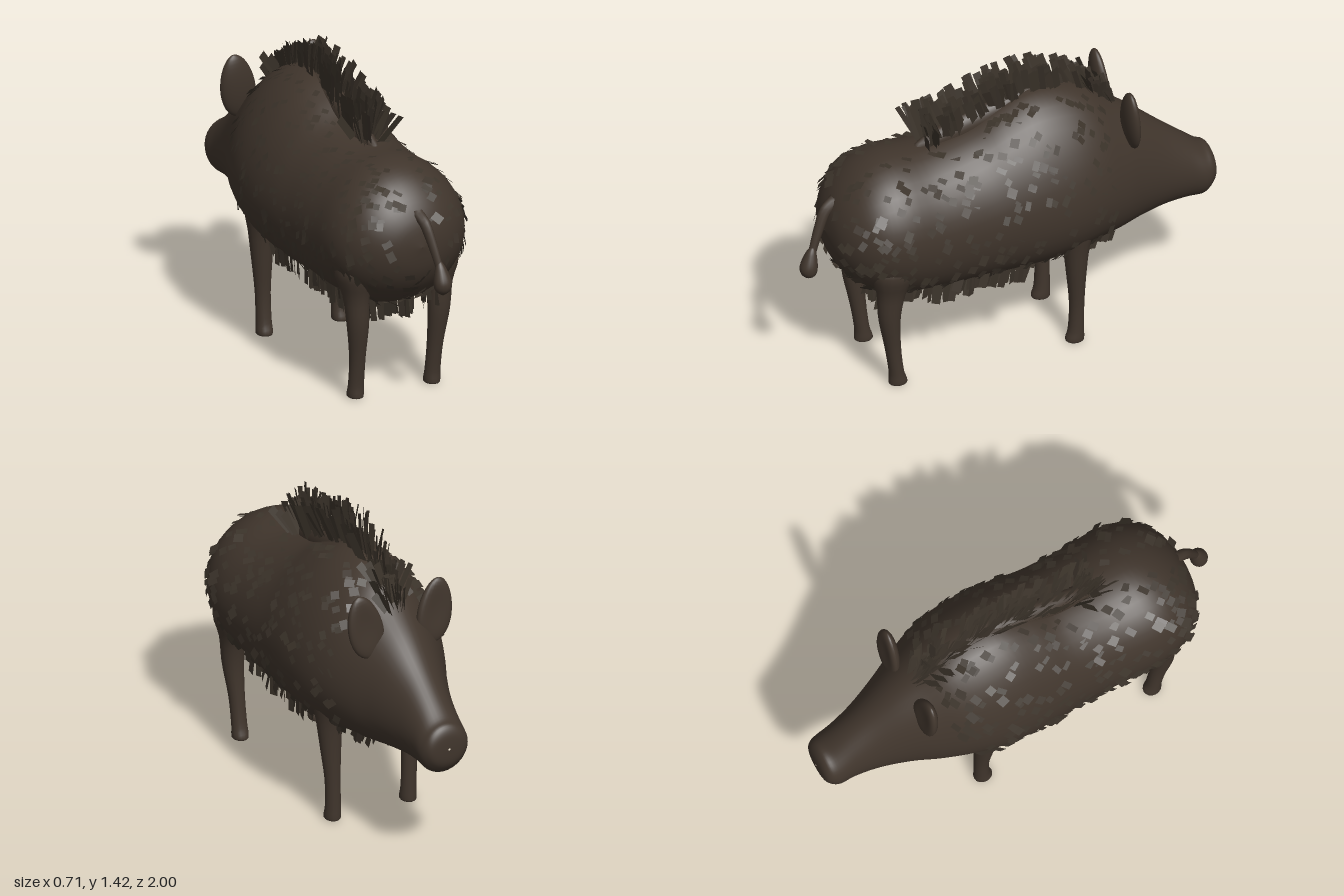
import * as THREE from 'three';
import { mergeGeometries } from 'three/addons/utils/BufferGeometryUtils.js';

// Body stations, snout to rump: z, top, bottom, half width, egg (narrowing of the upper half)
const STATIONS = [
  [-1.0, 0.65, 0.64, 0.005, 0], [-0.995, 0.71, 0.58, 0.075, 0], [-0.975, 0.75, 0.54, 0.105, 0],
  [-0.935, 0.77, 0.505, 0.12, 0], [-0.86, 0.83, 0.505, 0.125, 0.03], [-0.75, 0.92, 0.5, 0.148, 0.08],
  [-0.62, 1.03, 0.48, 0.195, 0.1], [-0.5, 1.12, 0.46, 0.25, 0.14], [-0.38, 1.21, 0.445, 0.295, 0.18],
  [-0.25, 1.255, 0.42, 0.325, 0.2], [-0.1, 1.26, 0.405, 0.335, 0.2], [0.05, 1.21, 0.4, 0.33, 0.16],
  [0.2, 1.14, 0.395, 0.32, 0.1], [0.4, 1.1, 0.395, 0.322, 0.05], [0.58, 1.1, 0.42, 0.328, 0.03],
  [0.7, 1.06, 0.47, 0.3, 0.02], [0.79, 0.98, 0.55, 0.23, 0], [0.845, 0.88, 0.65, 0.13, 0],
  [0.865, 0.77, 0.765, 0.005, 0],
];

// Seeded random
let seed = 7;
const rand = (a = 0, b = 1) => {
  seed = (seed * 16807) % 2147483647;
  return a + (b - a) * (seed / 2147483647);
};

// Smooth interpolation between rows of numbers
function sampleRows(rows, t) {
  const n = rows.length - 1;
  const i = Math.min(Math.floor(t), n - 1), f = t - i;
  const p0 = rows[Math.max(i - 1, 0)], p1 = rows[i], p2 = rows[i + 1], p3 = rows[Math.min(i + 2, n)];
  return p1.map((b, k) => {
    const m1 = (p2[k] - p0[k]) / 2, m2 = (p3[k] - b) / 2, d = p2[k] - b;
    return b + f * (m1 + f * (3 * d - 2 * m1 - m2 + f * (m1 + m2 - 2 * d)));
  });
}

function bodyPoint(t, a) {
  const [z, top, bottom, w, egg] = sampleRows(STATIONS, t);
  const c = Math.cos(a);
  return new THREE.Vector3(w * Math.sin(a) * (1 - egg * c), (top + bottom) / 2 + ((top - bottom) / 2) * c, z);
}

// Station parameter for a given z
function stationAt(z) {
  let i = 0;
  while (i < STATIONS.length - 2 && STATIONS[i + 1][0] < z) i++;
  return i + (z - STATIONS[i][0]) / (STATIONS[i + 1][0] - STATIONS[i][0]);
}

// Closed skin over rings of points
function skin(pointAt, rings, sides) {
  const pos = [], index = [];
  for (let i = 0; i <= rings; i++) {
    for (let j = 0; j < sides; j++) pos.push(...pointAt(i / rings, (j / sides) * Math.PI * 2).toArray());
  }
  for (let i = 0; i < rings; i++) {
    for (let j = 0; j < sides; j++) {
      const k = (j + 1) % sides, a = i * sides, b = a + sides;
      index.push(a + j, b + j, a + k, a + k, b + j, b + k);
    }
  }
  const g = new THREE.BufferGeometry();
  g.setAttribute('position', new THREE.Float32BufferAttribute(pos, 3));
  g.setIndex(index);
  g.computeVertexNormals();
  return g;
}

// Limb from rows of y, x, z, half width, half depth (top to bottom)
const limb = (rows) => skin((u, a) => {
  const [y, x, z, rx, rz] = sampleRows(rows, u * (rows.length - 1));
  return new THREE.Vector3(x + rx * Math.sin(a), y, z + rz * Math.cos(a));
}, 28, 16);

// Flat hair card growing from root along dir, facing along normal
function card(root, dir, normal, width, length) {
  const y = dir.clone().normalize();
  const x = new THREE.Vector3().crossVectors(y, normal).normalize();
  const z = new THREE.Vector3().crossVectors(x, y);
  return new THREE.PlaneGeometry(width, length).translate(0, length / 2, 0)
    .applyMatrix4(new THREE.Matrix4().makeBasis(x, y, z).setPosition(root));
}

export function createModel() {
  const model = new THREE.Group();
  const hide = new THREE.MeshStandardMaterial({ name: 'brown hide', color: 0x40352c });
  const hair = new THREE.MeshStandardMaterial({ name: 'dark bristle', color: 0x3b332a, side: THREE.DoubleSide });
  const add = (name, geometry, material = hide) => {
    const mesh = new THREE.Mesh(geometry, material);
    mesh.name = name;
    model.add(mesh);
    return mesh;
  };

  add('body', skin((u, a) => bodyPoint(u * (STATIONS.length - 1), a), 90, 40));

  // Raised ridge under the mane
  const ridge = add('maneRidge', new THREE.SphereGeometry(1, 20, 14));
  ridge.scale.set(0.05, 0.07, 0.34);
  ridge.position.set(0, 1.155, 0.12);
  ridge.rotation.x = 0.26;

  for (const s of [-1, 1]) {
    const side = s > 0 ? 'left' : 'right';
    add(side + 'FrontLeg', limb([
      [0.75, s * 0.2, -0.26, 0.02, 0.02], [0.64, s * 0.205, -0.26, 0.075, 0.09],
      [0.5, s * 0.205, -0.262, 0.06, 0.06], [0.36, s * 0.2, -0.265, 0.048, 0.045],
      [0.2, s * 0.193, -0.27, 0.036, 0.034], [0.07, s * 0.19, -0.268, 0.036, 0.036],
      [0.02, s * 0.19, -0.262, 0.038, 0.043], [0.002, s * 0.19, -0.262, 0.032, 0.038],
      [0, s * 0.19, -0.262, 0.001, 0.001],
    ]));
    add(side + 'HindLeg', limb([
      [0.78, s * 0.18, 0.61, 0.03, 0.03], [0.64, s * 0.205, 0.615, 0.095, 0.11],
      [0.5, s * 0.208, 0.63, 0.06, 0.068], [0.36, s * 0.203, 0.637, 0.05, 0.05],
      [0.2, s * 0.195, 0.618, 0.037, 0.037], [0.07, s * 0.192, 0.6, 0.036, 0.034],
      [0.02, s * 0.192, 0.592, 0.038, 0.042], [0.002, s * 0.192, 0.592, 0.032, 0.038],
      [0, s * 0.192, 0.592, 0.001, 0.001],
    ]));
    // Ear, a flattened leaf with a hollow front
    const earShape = new THREE.SphereGeometry(1, 24, 18);
    const p = earShape.attributes.position;
    for (let i = 0; i < p.count; i++) {
      const x = p.getX(i), y = p.getY(i), z = p.getZ(i);
      const hollow = z < 0 ? 1 - 0.6 * (1 - x * x - y * y) : 1;
      p.setXYZ(i, x * 0.085 * (1 - 0.15 * y), y * 0.155, z * 0.037 * hollow);
    }
    earShape.computeVertexNormals();
    const ear = add(side + 'Ear', earShape);
    ear.position.set(s * 0.175, 1.085, -0.54);
    ear.rotation.set(0.08, 0, -s * 0.18);
  }

  // Tail and its tuft
  const tailPath = new THREE.CatmullRomCurve3([[0.0, 0.92, 0.8], [0.012, 0.88, 0.86], [0.028, 0.79, 0.905], [0.045, 0.68, 0.945]]
    .map((v) => new THREE.Vector3(...v)));
  add('tail', skin((u, a) => {
    const c = tailPath.getPoint(u), r = 0.03 - 0.014 * u;
    return c.add(new THREE.Vector3(r * Math.sin(a), r * 0.5 * Math.cos(a), r * Math.cos(a)));
  }, 12, 10));
  add('tailTuft', limb([
    [0.72, 0.044, 0.94, 0.01, 0.01], [0.69, 0.046, 0.948, 0.025, 0.025], [0.63, 0.05, 0.96, 0.041, 0.04],
    [0.59, 0.05, 0.96, 0.034, 0.033], [0.565, 0.05, 0.96, 0.001, 0.001],
  ]));

  // Coat: short cards lying back over the body
  const coat = [];
  for (let i = 0; i < 620; i++) {
    const t = stationAt(rand(-0.45, 0.83));
    const a = rand(0.15, Math.PI * 2 - 0.15);
    const root = bodyPoint(t, a);
    const along = bodyPoint(t + 0.02, a).sub(root).normalize();
    const around = bodyPoint(t, a + 0.02).sub(root).normalize();
    const normal = new THREE.Vector3().crossVectors(along, around).normalize();
    const down = a < Math.PI ? 1 : -1;
    const dir = along.clone().multiplyScalar(rand(0.4, 0.8))
      .addScaledVector(around, down * rand(0.5, 0.9)).addScaledVector(normal, rand(0.1, 0.32));
    root.addScaledVector(normal, -0.006);
    coat.push(card(root, dir, normal, rand(0.025, 0.045), rand(0.045, 0.07)));
  }
  add('coat', mergeGeometries(coat), hair);

  // Fringe hanging under the belly
  const fringe = [];
  for (let i = 0; i < 170; i++) {
    const z = rand(-0.12, 0.66), spread = rand(-0.75, 0.75);
    const root = bodyPoint(stationAt(z), Math.PI + spread);
    root.y += 0.02;
    const dir = new THREE.Vector3(rand(-0.1, 0.1), -1, rand(-0.05, 0.35));
    const normal = new THREE.Vector3(Math.sign(-spread) * 0.8, 0, rand(-0.6, 0.6));
    fringe.push(card(root, dir, normal, rand(0.025, 0.045), rand(0.07, 0.115)));
  }
  // Sparse hair under the chest and throat
  for (let i = 0; i < 26; i++) {
    const root = bodyPoint(stationAt(rand(-0.5, -0.1)), Math.PI + rand(-0.6, 0.6));
    const dir = new THREE.Vector3(0, -1, rand(0.3, 0.8));
    fringe.push(card(root, dir, new THREE.Vector3(1, 0, rand(-0.5, 0.5)), 0.03, rand(0.03, 0.06)));
  }
  add('bellyFringe', mergeGeometries(fringe), hair);

  // Mane standing along the spine
  const mane = [];
  for (let i = 0; i < 190; i++) {
    const z = rand(-0.52, 0.4), u = (z + 0.52) / 0.92;
    const x = rand(-0.04, 0.04);
    const spine = bodyPoint(stationAt(z), 0).y;
    const root = new THREE.Vector3(x, spine - 0.015, z);
    const dir = new THREE.Vector3(x * 9 + rand(-0.12, 0.12), 1, rand(0.15, 0.5));
    const length = (0.12 + 0.11 * u) * rand(0.75, 1.05);
    mane.push(card(root, dir, new THREE.Vector3(1, 0, rand(-0.5, 0.5)), rand(0.022, 0.042), length));
  }
  // Wider tufts fanning out at both ends
  for (let i = 0; i < 28; i++) {
    const back = i % 2, x = rand(-0.05, 0.05);
    const z = back ? rand(0.3, 0.4) : rand(-0.5, -0.38);
    const root = new THREE.Vector3(x, bodyPoint(stationAt(z), 0).y - 0.01, z);
    const dir = new THREE.Vector3(x * 16, 1, back ? rand(0.2, 0.5) : rand(0.1, 0.6));
    mane.push(card(root, dir, new THREE.Vector3(0.3, 0, 1), 0.038, back ? rand(0.1, 0.18) : rand(0.09, 0.14)));
  }
  add('mane', mergeGeometries(mane), hair);

  return model;
}
